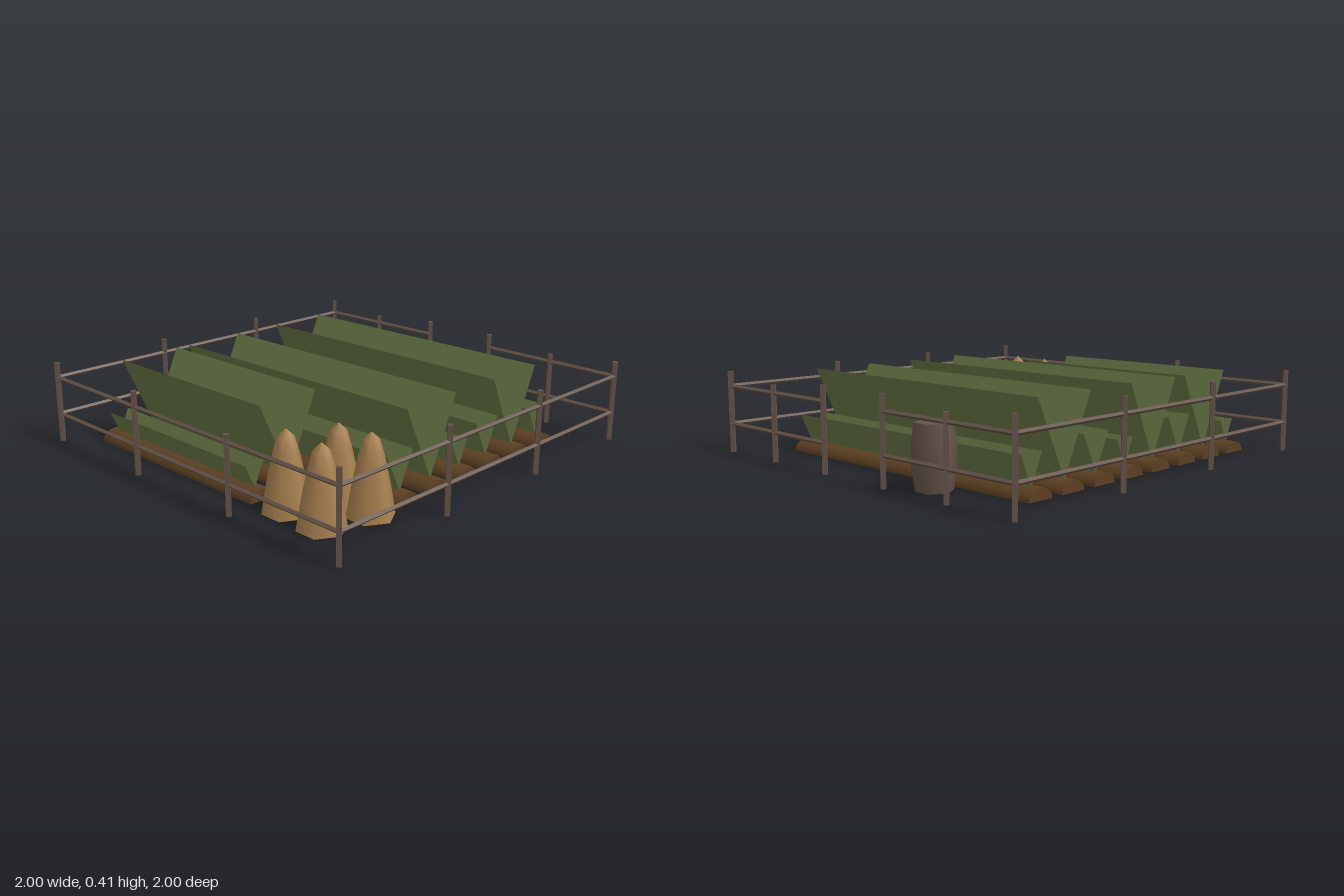
import * as THREE from 'three';

export function createModel() {
  const model = new THREE.Group();
  model.name = 'cropField';

  const mat = (name, color, side = THREE.FrontSide) => {
    const m = new THREE.MeshStandardMaterial({ color, side });
    m.name = name;
    return m;
  };
  const leaf = mat('leafGreen', 0x6a7947, THREE.DoubleSide);
  const soil = mat('soilBrown', 0x5c4022);
  const straw = mat('strawTan', 0xa98150);
  const wood = mat('weatheredWood', 0x66544a);
  const fenceWood = mat('fenceWood', 0x66544a);
  fenceWood.flatShading = true;

  const add = (parent, name, geometry, material, x = 0, y = 0, z = 0) => {
    const mesh = new THREE.Mesh(geometry, material);
    mesh.name = name;
    mesh.position.set(x, y, z);
    parent.add(mesh);
    return mesh;
  };

  // Planted rows: a rounded soil ridge with two leaf sheets in a V
  const crops = new THREE.Group();
  crops.name = 'cropRows';
  model.add(crops);
  const ridgeH = 0.055, ridgeR = 0.072, leafBase = 0.045;
  // [z, crop height, spread at the top, right end of the ridge]
  const rows = [
    [-0.675, 0.19, 0.063, 0.79], [-0.47, 0.415, 0.168, 0.79], [-0.262, 0.225, 0.083, 0.79],
    [-0.058, 0.17, 0.055, 0.79], [0.15, 0.415, 0.168, 0.79], [0.358, 0.225, 0.083, 0.79],
    [0.565, 0.415, 0.168, 0.305], [0.772, 0.16, 0.053, 0.305],
  ];
  for (const [z, height, spread, end] of rows) {
    const row = new THREE.Group();
    row.name = 'cropRow';
    row.position.z = z;
    crops.add(row);

    const length = end + 0.83, mid = (end - 0.83) / 2;
    const ridge = new THREE.CylinderGeometry(ridgeR, ridgeR, length, 6, 1, false, 0, Math.PI);
    ridge.rotateZ(Math.PI / 2).scale(1, ridgeH / ridgeR, 1);
    add(row, 'soilRidge', ridge, soil, mid);
    add(row, 'ridgeUnderside', new THREE.PlaneGeometry(length, ridgeR * 2).rotateX(Math.PI / 2), soil, mid);

    for (const s of [-1, 1]) {
      const rise = height - leafBase;
      const sheet = new THREE.PlaneGeometry(length - 0.1, Math.hypot(rise, spread));
      sheet.rotateX(s * Math.atan2(spread, rise));
      add(row, 'leafSheet', sheet, leaf, mid, leafBase + rise / 2, s * spread / 2);
    }
  }

  // Six-sided turned shapes with a corner pointing along x
  const turned = (points) => new THREE.LatheGeometry(
    points.map(([r, y]) => new THREE.Vector2(r, y)), 6, Math.PI / 2);

  // Straw stooks
  const stook = turned([[0, 0], [0.112, 0], [0.112, 0], [0.088, 0.14], [0.06, 0.27], [0.038, 0.345], [0, 0.38]]);
  for (const [x, z] of [[0.575, 0.572], [0.752, 0.557], [0.47, 0.78], [0.695, 0.792]]) {
    add(model, 'strawStook', stook, straw, x, 0, z);
  }

  // Barrel
  const barrel = turned([[0, 0], [0.085, 0], [0.085, 0], [0.1, 0.1], [0.1, 0.2], [0.087, 0.295], [0.087, 0.295], [0, 0.295]]);
  add(model, 'barrel', barrel, wood, -0.385, 0, -0.85);

  // Fence: square posts set cornerwise and two rails, with a gap at the back
  const fence = new THREE.Group();
  fence.name = 'fence';
  model.add(fence);
  const E = 0.983, third = 0.328;
  const post = (x, z, h = 0.41) =>
    add(fence, 'fencePost', new THREE.CylinderGeometry(0.016, 0.016, h, 4), fenceWood, x, h / 2, z);
  const rails = (x0, z0, x1, z1) => {
    for (const y of [0.145, 0.335]) {
      const g = new THREE.CylinderGeometry(0.011, 0.011, Math.hypot(x1 - x0, z1 - z0), 4);
      if (z0 === z1) g.rotateZ(Math.PI / 2);
      else g.rotateX(Math.PI / 2);
      add(fence, 'fenceRail', g, fenceWood, (x0 + x1) / 2, y, (z0 + z1) / 2);
    }
  };
  for (const s of [-1, 1]) {
    post(s * E, E);
    post(s * E, -E);
    post(s * E, third);
    post(s * E, -third);
    post(s * third, E, s > 0 ? 0.37 : 0.41);
    post(s * 0.605, -E, 0.375);
    post(s * 0.208, -E);
    rails(s * E, -E, s * E, E);
    rails(s * 0.208, -E, s * E, -E);
  }
  rails(-E, E, E, E);

  return model;
}
